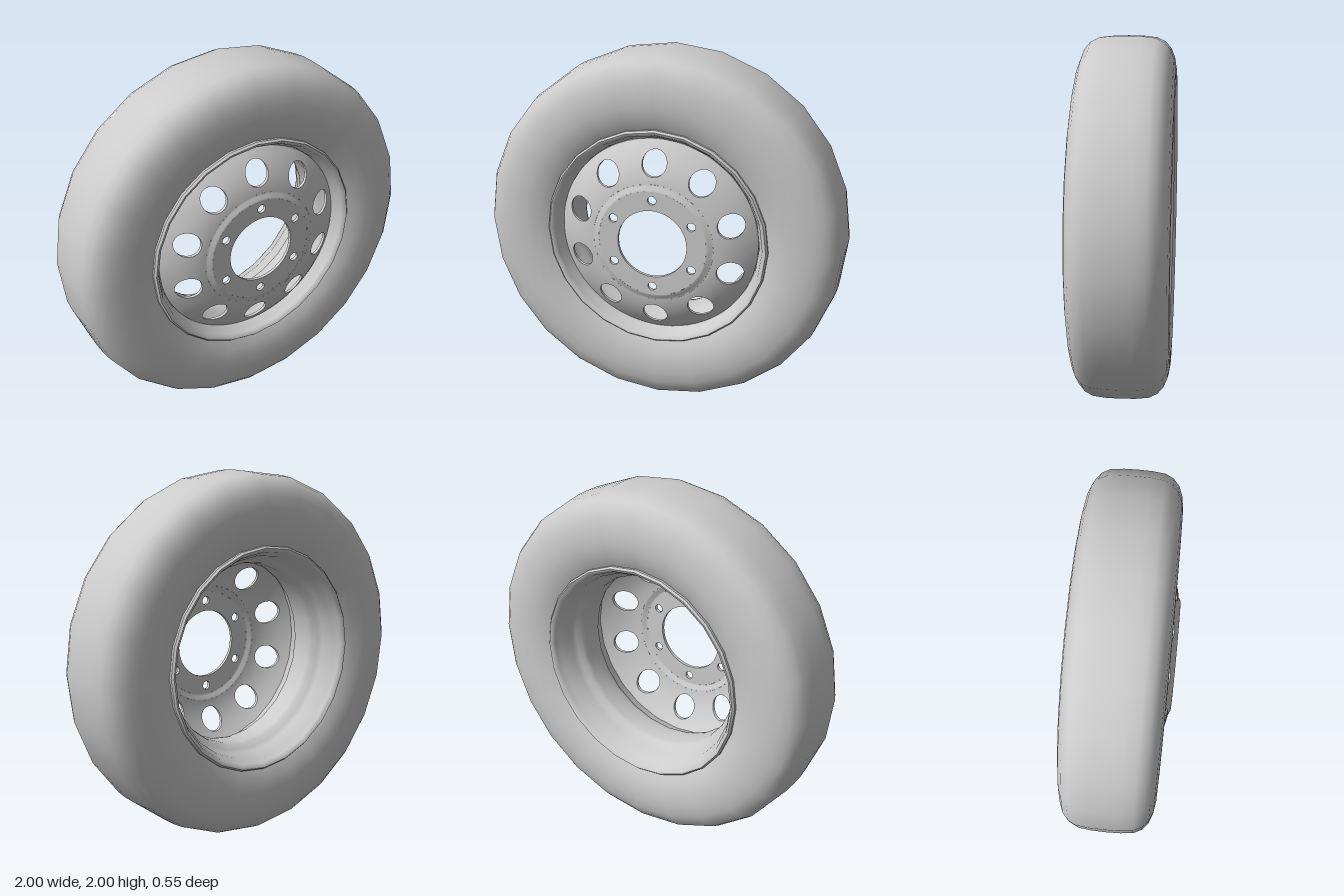
import * as THREE from 'three';
import { toCreasedNormals } from 'three/addons/utils/BufferGeometryUtils.js';

const SIDES = 24;
const grey = new THREE.MeshStandardMaterial({ color: 0xcccccc });
const greyThin = new THREE.MeshStandardMaterial({ color: 0xcccccc, side: THREE.DoubleSide });

// Revolve [radius, z] points around the z axis
function revolve(points, sides) {
  const g = new THREE.LatheGeometry(points.map(([r, z]) => new THREE.Vector2(r, z)), sides);
  return g.rotateX(Math.PI / 2);
}

// Ring plate with n round holes: each hole sits in a sector cell, skinned front and back
function perforatedRing({ n, rIn, rOut, rHole, hole, depth, zAt }) {
  const COLS = 32, STEPS = 4, half = Math.PI / n;
  const rows = [];
  for (let v = 0; v <= STEPS; v++) rows.push([v / STEPS, 0]);
  for (let v = STEPS; v >= 0; v--) rows.push([v / STEPS, depth]);
  const pos = [], index = [];
  for (let k = 0; k < n; k++) {
    const base = pos.length / 3, turn = k * 2 * half;
    for (const [v, back] of rows) {
      for (let j = 0; j < COLS; j++) {
        const a = (j / COLS) * Math.PI * 2, c = Math.cos(a), s = Math.sin(a);
        const d = Math.max(Math.abs(c), Math.abs(s));
        const hx = hole * c, hy = rHole + hole * s;
        const edgeR = rHole + (s > 0 ? rOut - rHole : rHole - rIn) * s / d;
        const theta = THREE.MathUtils.lerp(Math.atan2(hx, hy), half * c / d, v) + turn;
        const r = THREE.MathUtils.lerp(Math.hypot(hx, hy), edgeR, v);
        pos.push(r * Math.sin(theta), r * Math.cos(theta), zAt(r) - back);
      }
    }
    for (let i = 0; i < rows.length; i++) {
      for (let j = 0; j < COLS; j++) {
        const i2 = (i + 1) % rows.length, j2 = (j + 1) % COLS;
        const A = base + i * COLS + j, B = base + i2 * COLS + j;
        const C = base + i2 * COLS + j2, D = base + i * COLS + j2;
        index.push(A, B, C, A, C, D);
      }
    }
  }
  const g = new THREE.BufferGeometry();
  g.setAttribute('position', new THREE.Float32BufferAttribute(pos, 3));
  g.setIndex(index);
  return toCreasedNormals(g, 0.6);
}

export function createModel() {
  const model = new THREE.Group();
  model.name = 'wheel';
  const add = (name, geometry, material, z = 0) => {
    const mesh = new THREE.Mesh(geometry, material);
    mesh.name = name;
    mesh.position.set(0, 1, z);
    model.add(mesh);
  };
  const MID = -0.015; // the tyre sits slightly behind the hub face

  // Tyre: half section from bead to tread, mirrored front to back
  const half = [
    [0.585, 0.2], [0.62, 0.222], [0.68, 0.247], [0.75, 0.26], [0.82, 0.258],
    [0.88, 0.248], [0.93, 0.228], [0.968, 0.195], [0.99, 0.15], [0.998, 0.08],
  ];
  const mirrored = (pts, mid) => [...pts.map(([r, z]) => [r, -z]), mid, ...[...pts].reverse()];
  add('tyre', revolve(mirrored(half, [1, 0]), SIDES), grey, MID);

  // Rim: rolled lip, bead seat and drop centre
  const rimHalf = [
    [0.6, 0.19], [0.617, 0.215], [0.618, 0.235], [0.608, 0.246], [0.595, 0.242], [0.584, 0.225],
    [0.576, 0.195], [0.56, 0.178], [0.55, 0.12], [0.535, 0.095], [0.512, 0.075], [0.506, 0.05],
  ];
  const rim = toCreasedNormals(revolve(mirrored(rimHalf, [0.506, 0]), SIDES), 0.75);
  add('rim', rim, greyThin, MID);

  // Disc: flat hub plate, pressed step and dished outer ring
  const HUB_Z = 0.278, DISH_Z = 0.264, DEPTH = 0.018;
  add('hubPlate', perforatedRing({
    n: 6, rIn: 0.192, rOut: 0.3, rHole: 0.25, hole: 0.024, depth: DEPTH, zAt: () => HUB_Z,
  }), grey);
  const step = [[0.335, DISH_Z], [0.325, DISH_Z + 0.002], [0.31, HUB_Z - 0.002], [0.3, HUB_Z]];
  add('hubStepFront', revolve(step, 48), greyThin);
  add('hubStepBack', revolve(step, 48), greyThin, -DEPTH);
  add('dishedRing', perforatedRing({
    n: 10, rIn: 0.335, rOut: 0.553, rHole: 0.44, hole: 0.068, depth: DEPTH,
    zAt: (r) => DISH_Z - 0.14 * (r - 0.335) - 1.67 * (r - 0.335) ** 2,
  }), grey);

  return model;
}
